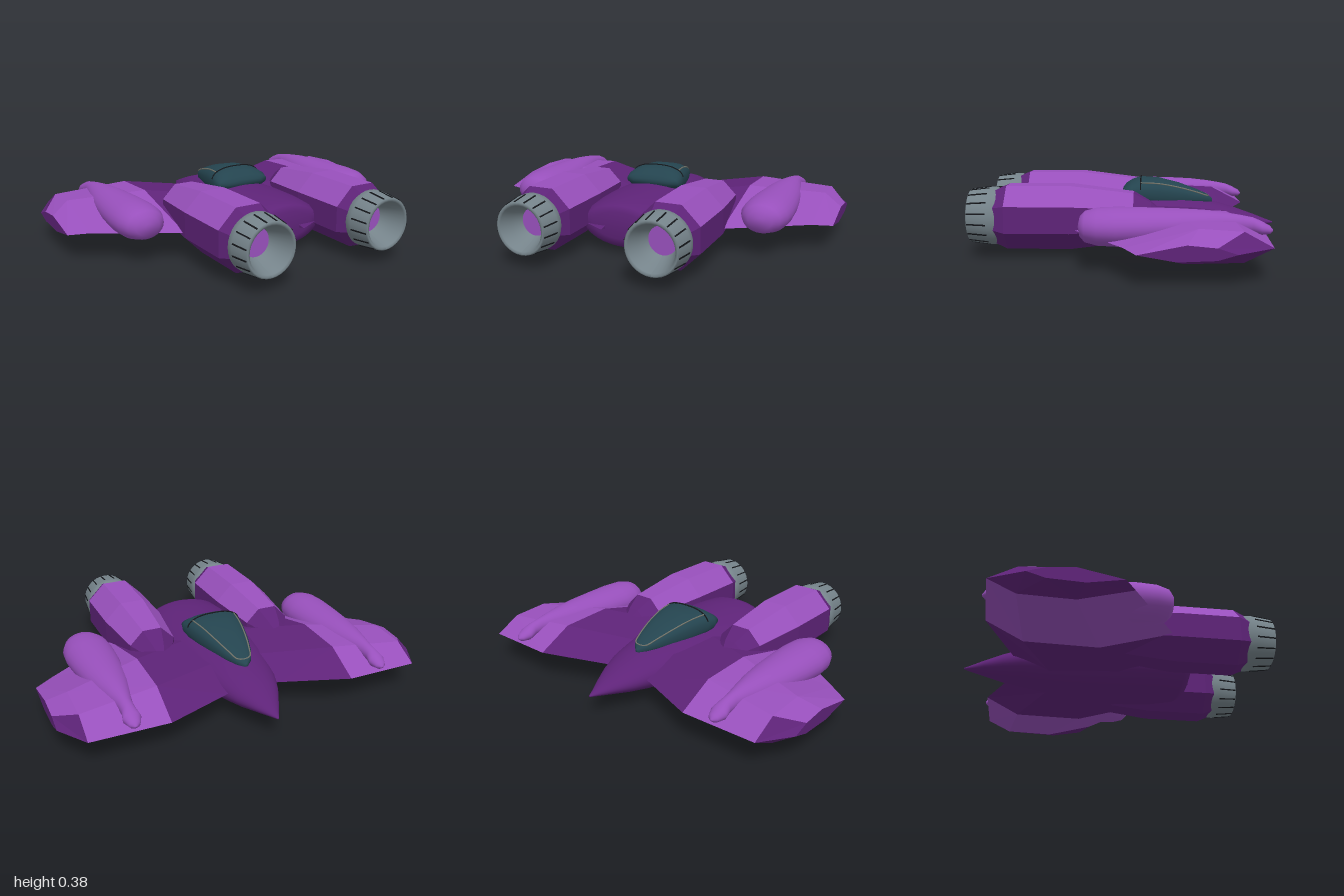
import * as THREE from 'three';

const V = (x, y, z) => new THREE.Vector3(x, y, z);

// Elliptical cross-section facing along z; e < 1 makes it boxier
function ring(z, cx, cy, rx, ry, n = 28, e = 1, phase = 0) {
  return Array.from({ length: n }, (_, i) => {
    const a = phase + (i / n) * Math.PI * 2, c = Math.cos(a), s = Math.sin(a);
    return V(cx + rx * Math.sign(c) * Math.abs(c) ** e, cy + ry * Math.sign(s) * Math.abs(s) ** e, z);
  });
}

// Skin over closed rings with capped ends; pick(i, j) gives the material slot of a facet
function loft(rings, { flat = false, pick = () => 0, slots = 1, capSlot = 0 } = {}) {
  const n = rings[0].length, pts = rings.flat();
  const tris = Array.from({ length: slots }, () => []);
  for (let i = 0; i < rings.length - 1; i++) {
    for (let j = 0; j < n; j++) {
      const k = (j + 1) % n, a = i * n + j, b = i * n + k, c = a + n, d = b + n;
      tris[pick(i, j)].push([a, b, d], [a, d, c]);
    }
  }
  [0, rings.length - 1].forEach((r, end) => {
    const mid = rings[r].reduce((s, p) => s.add(p), V(0, 0, 0)).divideScalar(n);
    const m = pts.push(mid) - 1;
    for (let j = 0; j < n; j++) {
      const a = r * n + j, b = r * n + ((j + 1) % n);
      tris[capSlot].push(end ? [a, b, m] : [b, a, m]);
    }
  });
  // Turn the skin outward whatever the ring direction
  let vol = 0;
  const cr = V(0, 0, 0);
  tris.flat().forEach(([a, b, c]) => { vol += pts[a].dot(cr.crossVectors(pts[b], pts[c])); });
  if (vol < 0) tris.flat().forEach((t) => t.reverse());
  let g = new THREE.BufferGeometry().setFromPoints(pts);
  g.setIndex(tris.flat(2));
  if (slots > 1) {
    let start = 0;
    tris.forEach((t, s) => { g.addGroup(start, t.length * 3, s); start += t.length * 3; });
  }
  if (flat) g = g.toNonIndexed();
  g.computeVertexNormals();
  return g;
}

export function createModel() {
  const mat = (name, color) => {
    const m = new THREE.MeshStandardMaterial({ color });
    m.name = name;
    return m;
  };
  const dark = mat('dark purple', 0x5e2378);
  const light = mat('light purple', 0x9850bc);
  const grey = mat('nozzle grey', 0x75838a);
  const glass = mat('canopy teal', 0x24444f);
  const black = mat('slot black', 0x14161a);
  const trim = mat('trim grey', 0x74766c);

  const model = new THREE.Group();
  model.name = 'spacecraft';
  const add = (name, geo, material, parent = model) => {
    const m = new THREE.Mesh(geo, material);
    m.name = name;
    parent.add(m);
    return m;
  };
  const wire = (name, points, r, material) => add(name,
    new THREE.TubeGeometry(new THREE.CatmullRomCurve3(points), 40, r, 5), material);

  // Fuselage: z, half width, top, bottom
  const hull = [
    [-0.81, 0.004, 0.128, 0.12], [-0.77, 0.025, 0.143, 0.11], [-0.7, 0.065, 0.17, 0.095],
    [-0.6, 0.118, 0.205, 0.073], [-0.5, 0.158, 0.235, 0.055], [-0.3, 0.21, 0.275, 0.025],
    [-0.1, 0.25, 0.288, 0.007], [0.08, 0.27, 0.29, 0], [0.25, 0.265, 0.288, 0.008],
    [0.38, 0.24, 0.28, 0.028], [0.42, 0.21, 0.265, 0.05], [0.435, 0.15, 0.235, 0.09],
  ];
  add('fuselage', loft(hull.map(([z, w, t, b]) => ring(z, 0, (t + b) / 2, w, (t - b) / 2, 36))), dark);

  // Canopy: z, half width, centre height, half height
  const canopy = [
    [-0.47, 0.008, 0.245, 0.012], [-0.44, 0.042, 0.258, 0.025], [-0.38, 0.074, 0.268, 0.042],
    [-0.28, 0.108, 0.28, 0.066], [-0.17, 0.136, 0.29, 0.083], [-0.07, 0.156, 0.297, 0.082],
    [-0.02, 0.164, 0.3, 0.062], [0.015, 0.155, 0.303, 0.035], [0.03, 0.11, 0.303, 0.015],
  ];
  add('canopy', loft(canopy.map(([z, w, y, h]) => ring(z, 0, y, w, h, 36, 0.8))), glass);
  const onGlass = ([z, w, y, h], a) => V(
    w * Math.sign(Math.cos(a)) * Math.abs(Math.cos(a)) ** 0.8, y + h * Math.sin(a) ** 0.8 + 0.001, z);
  const rim = canopy.slice(1, 6);
  wire('canopyTrim', [...rim.map((s) => onGlass(s, 0.72)).reverse(),
    ...rim.map((s) => onGlass(s, Math.PI - 0.72))], 0.004, trim);
  wire('canopySeam', Array.from({ length: 13 }, (_, i) => onGlass(canopy[5], 0.2 + (i / 12) * (Math.PI - 0.4))),
    0.004, black);

  // Wing stations: x, leading z, trailing z, top, bottom, edge height
  const stations = [
    [0.08, -0.52, 0.48, 0.23, 0.07, 0.15], [0.15, -0.55, 0.45, 0.24, 0.065, 0.155],
    [0.5, -0.69, 0.255, 0.275, 0.055, 0.165], [0.9, -0.68, -0.01, 0.245, 0.085, 0.16],
    [1.0, -0.51, -0.07, 0.19, 0.115, 0.15],
  ];
  // Engine stations: z, radius across flats
  const engine = [[-0.2, 0.015], [-0.13, 0.075], [-0.04, 0.125], [0.28, 0.163], [0.61, 0.163], [0.67, 0.138]];
  // Pod stations: z, half width, centre height, half height
  const pod = [
    [-0.705, 0.006, 0.2, 0.005], [-0.69, 0.027, 0.203, 0.02], [-0.65, 0.045, 0.212, 0.033],
    [-0.61, 0.036, 0.225, 0.037], [-0.56, 0.036, 0.23, 0.042], [-0.48, 0.055, 0.23, 0.055],
    [-0.38, 0.08, 0.228, 0.068], [-0.25, 0.105, 0.222, 0.08], [-0.1, 0.122, 0.216, 0.089],
    [0.03, 0.13, 0.213, 0.094], [0.12, 0.124, 0.213, 0.09], [0.18, 0.1, 0.213, 0.075],
    [0.205, 0.065, 0.213, 0.05], [0.214, 0.02, 0.213, 0.015],
  ];

  for (const side of [1, -1]) {
    const label = side > 0 ? 'left' : 'right';

    // Wing: dark root, light outer panel, dark lower tip and leading corner
    const sections = stations.map(([x, lead, trail, top, bot, edge]) => {
      const at = (f, y) => V(side * x, y, lead + (trail - lead) * f);
      return [at(0, edge), at(0.2, top - 0.012), at(0.5, top), at(1, edge - 0.005),
        at(0.6, bot), at(0.2, bot + 0.008)];
    });
    add(label + 'Wing', loft(sections, {
      flat: true, slots: 2,
      pick: (i, j) => (i < 2 ? 0 : i === 2 ? 1 : j === 1 || j === 2 ? 1 : 0),
    }), [dark, light]);

    // Wing pod
    add(label + 'Pod', loft(pod.map(([z, w, y, h]) => ring(z, side * 0.68, y, w, h))), light);

    // Octagonal engine body, light upper facets, open at the back around the nozzle
    const group = new THREE.Group();
    group.name = label + 'Engine';
    group.position.set(side * 0.35, 0.21, 0);
    model.add(group);
    const k = 1 / Math.cos(Math.PI / 8);
    const shell = engine.map(([z, r]) => ring(z, 0, 0, r * k, r * k, 8, 1, Math.PI / 8));
    shell.push(ring(0.67, 0, 0, 0.115, 0.115, 8, 1, Math.PI / 8), ring(0.58, 0, 0, 0.1, 0.1, 8, 1, Math.PI / 8));
    add(label + 'EngineBody', loft(shell, {
      flat: true, slots: 2, pick: (i, j) => (i >= 2 && i < 4 && j < 3 ? 1 : 0),
    }), [dark, light], group);

    // Hollow nozzle, its throat and the slots round its skirt
    const profile = [[0.125, 0.63], [0.15, 0.67], [0.15, 0.7], [0.137, 0.806], [0.13, 0.81], [0.118, 0.806],
      [0.1, 0.74], [0.072, 0.67]].map(([r, z]) => new THREE.Vector2(r, z));
    const nozzleGeo = new THREE.LatheGeometry(profile.reverse(), 32).rotateX(Math.PI / 2);
    const flip = nozzleGeo.index.array;
    const p = nozzleGeo.attributes.position, t = [0, 1, 2].map((q) => V(0, 0, 0).fromBufferAttribute(p, flip[q]));
    // The first facet belongs to the bore, so it must face the axis
    const normal = t[1].clone().sub(t[0]).cross(t[2].clone().sub(t[0]));
    if (normal.dot(V(t[0].x + t[1].x + t[2].x, t[0].y + t[1].y + t[2].y, 0)) > 0) {
      for (let q = 0; q < flip.length; q += 3) [flip[q], flip[q + 2]] = [flip[q + 2], flip[q]];
      nozzleGeo.computeVertexNormals();
    }
    add(label + 'Nozzle', nozzleGeo, grey, group);
    add(label + 'Throat', new THREE.CircleGeometry(0.075, 24), light, group).position.z = 0.675;
    for (let i = 0; i < 16; i++) {
      const spoke = new THREE.Group();
      spoke.name = 'nozzleSlotMount';
      spoke.rotation.z = ((i + 0.5) / 16) * Math.PI * 2;
      group.add(spoke);
      const slot = add('nozzleSlot', new THREE.BoxGeometry(0.007, 0.008, 0.1), black, spoke);
      slot.position.set(0, 0.1425, 0.755);
      slot.rotation.x = 0.122;
    }
  }
  return model;
}
